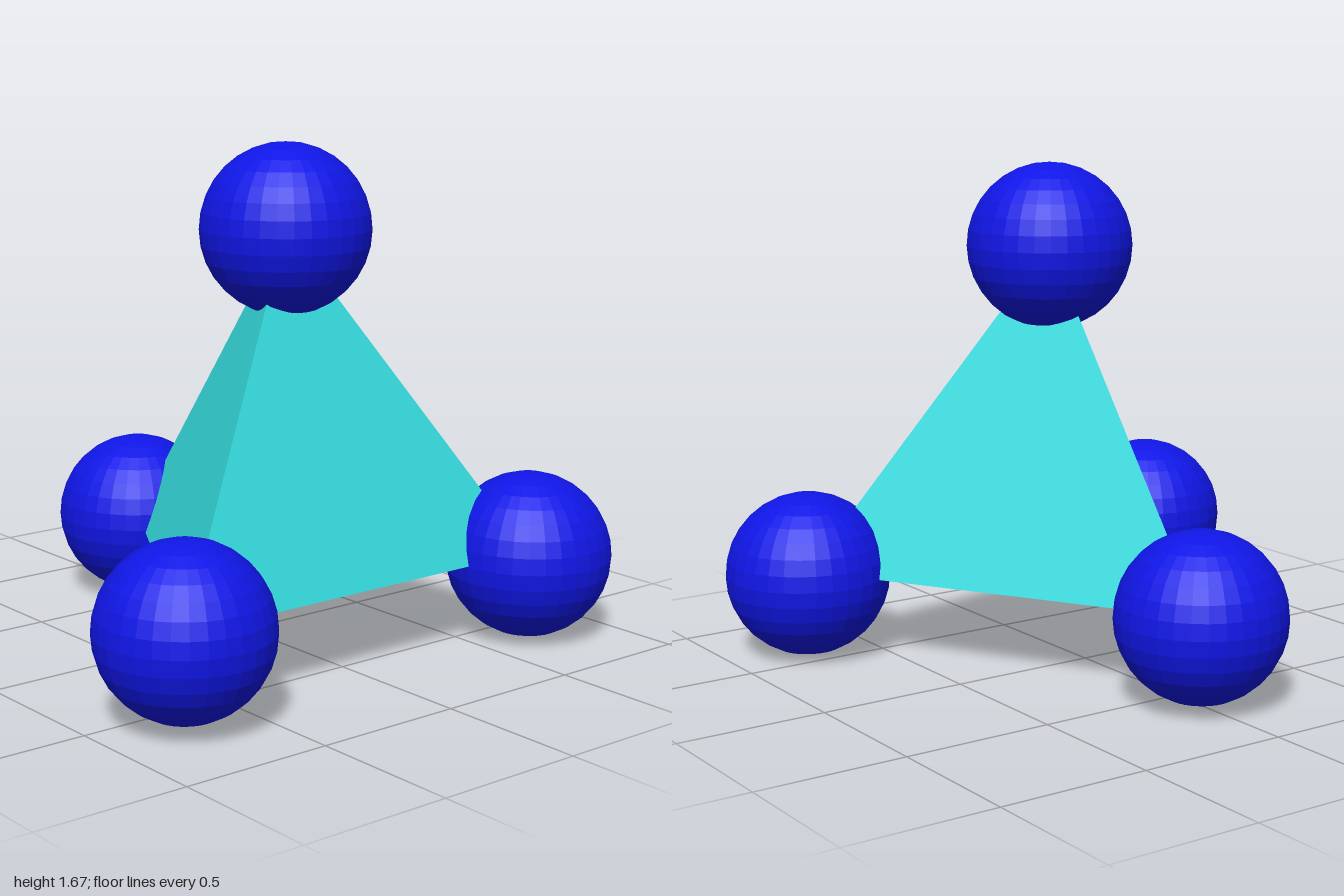
import * as THREE from 'three';
import { ConvexGeometry } from 'three/addons/geometries/ConvexGeometry.js';

const BALL_RADIUS = 0.278;
const BASE_Y = 0.283;

// Ball centres, one at each corner of the pyramid
const BALLS = {
  topBall: [0, 1.389, 0.204],
  rightBall: [-0.722, 0.297, 0.622],
  leftBall: [0.72, 0.28, 0.614],
  backBall: [0, 0.29, -0.625],
};

export function createModel() {
  const model = new THREE.Group();
  const blue = new THREE.MeshStandardMaterial({ color: 0x1016e6, flatShading: true });
  const cyan = new THREE.MeshStandardMaterial({ color: 0x35dcdf, flatShading: true });

  // Four-faced pyramid
  const corners = [
    [0, 1.389, 0.204],
    [-0.72, BASE_Y, 0.617],
    [0.72, BASE_Y, 0.617],
    [0, BASE_Y, -0.625],
  ].map((p) => new THREE.Vector3(...p));
  const pyramid = new THREE.Mesh(new ConvexGeometry(corners), cyan);
  pyramid.name = 'pyramid';
  model.add(pyramid);

  // Corner balls
  const ballGeometry = new THREE.SphereGeometry(BALL_RADIUS, 32, 16);
  for (const [name, centre] of Object.entries(BALLS)) {
    const ball = new THREE.Mesh(ballGeometry, blue);
    ball.name = name;
    ball.position.set(...centre);
    model.add(ball);
  }

  return model;
}
